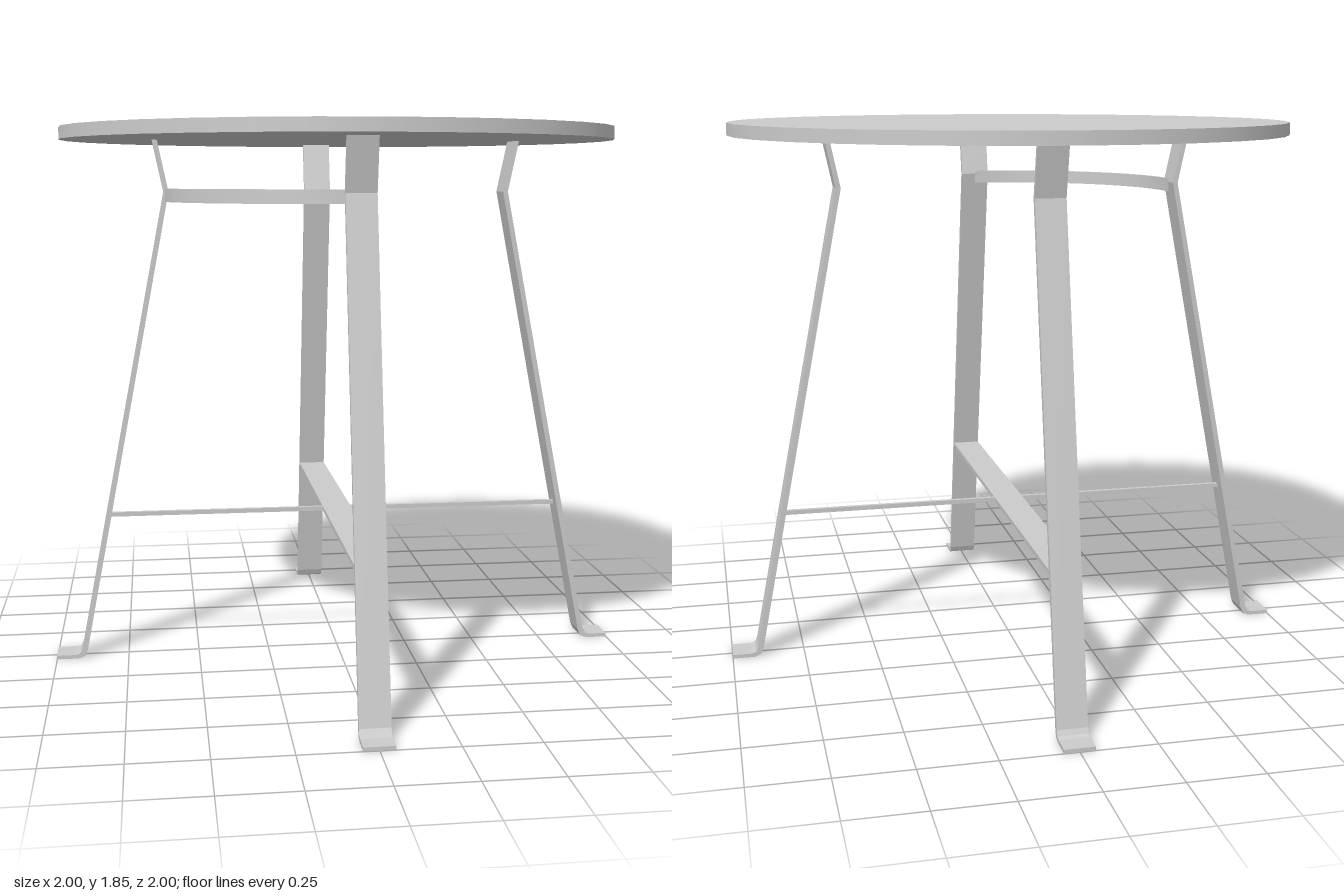
import * as THREE from 'three';
import { toCreasedNormals } from 'three/addons/utils/BufferGeometryUtils.js';

const LEG_WIDTH = 0.1;
const BAR_Y = 0.507;

export function createModel() {
  const model = new THREE.Group();
  model.name = 'roundStool';
  const material = new THREE.MeshStandardMaterial({ color: 0xcccccc });

  const add = (name, geometry) => {
    const mesh = new THREE.Mesh(geometry, material);
    mesh.name = name;
    model.add(mesh);
    return mesh;
  };

  // Round top
  add('top', new THREE.CylinderGeometry(0.948, 0.948, 0.042, 32)).position.y = 1.829;

  // Bent flat-steel leg: side outline with foot, slanted shank and outward kink
  const outline = [
    [1, 0], [0.925, 0], [0.903, 0.008], [0.893, 0.03], [0.582, 1.634], [0.619, 1.81],
    [0.636, 1.81], [0.599, 1.634], [0.911, 0.035], [0.919, 0.018], [0.935, 0.013], [1, 0.013],
  ].map(([x, y]) => new THREE.Vector2(x, y));
  const legGeometry = new THREE.ExtrudeGeometry(new THREE.Shape(outline), {
    depth: LEG_WIDTH, bevelEnabled: false,
  });
  legGeometry.translate(0, 0, -LEG_WIDTH / 2);

  ['leftLeg', 'backLeg', 'rightLeg', 'frontLeg'].forEach((name, i) => {
    add(name, legGeometry).rotation.y = i * Math.PI / 2;
  });

  // Crossed stretchers: a wide flat one front to back, a thin one side to side
  add('flatStretcher', new THREE.BoxGeometry(LEG_WIDTH, 0.015, 1.6)).position.y = BAR_Y;
  add('thinStretcher', new THREE.BoxGeometry(1.6, 0.015, 0.015)).position.y = BAR_Y;

  // Quarter-circle brace between the front and right legs
  const section = [[0.583, 1.6], [0.597, 1.6], [0.597, 1.645], [0.583, 1.645], [0.583, 1.6]]
    .map(([r, y]) => new THREE.Vector2(r, y));
  add('curvedBrace', toCreasedNormals(
    new THREE.LatheGeometry(section, 12, -Math.PI / 2, Math.PI / 2), Math.PI / 5));

  return model;
}
